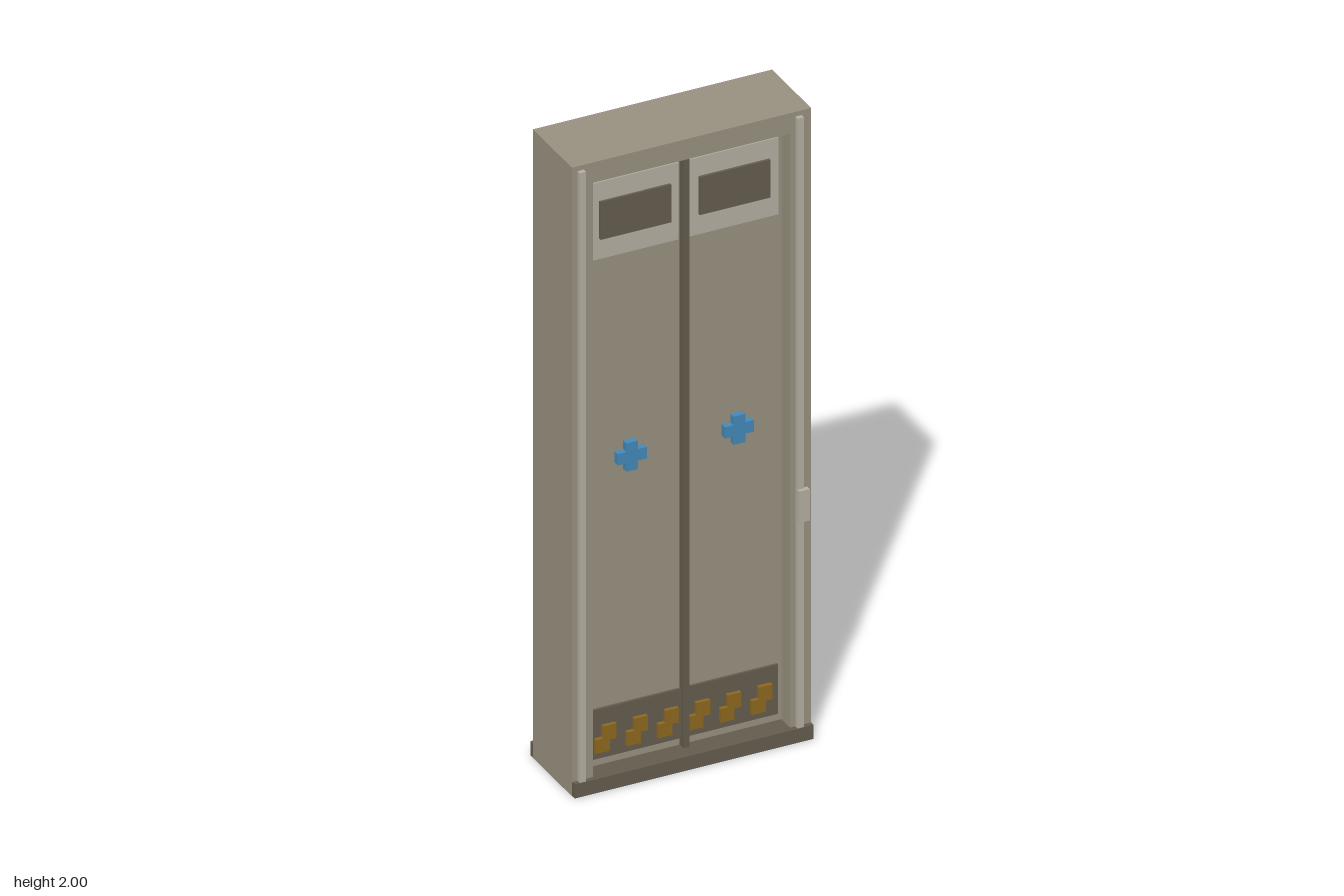
import * as THREE from 'three';

const mat = (color) => new THREE.MeshStandardMaterial({ color });
const BODY = mat(0x989180);
const DARK = mat(0x635c4e);
const LIGHT = mat(0xb5afa1);
const BLUE = mat(0x4489b9);
const AMBER = mat(0x8e6820);

// Box given by its extents on each axis
function box(parent, name, material, [x0, x1], [y0, y1], [z0, z1]) {
  const mesh = new THREE.Mesh(new THREE.BoxGeometry(x1 - x0, y1 - y0, z1 - z0), material);
  mesh.position.set((x0 + x1) / 2, (y0 + y1) / 2, (z0 + z1) / 2);
  mesh.name = name;
  parent.add(mesh);
  return mesh;
}

// Closed outline pushed out from depth z0 to z1
function plate(parent, name, material, points, x, y, z0, z1) {
  const shape = new THREE.Shape(points.map(([px, py]) => new THREE.Vector2(px, py)));
  const geo = new THREE.ExtrudeGeometry(shape, { depth: z1 - z0, bevelEnabled: false });
  const mesh = new THREE.Mesh(geo, material);
  mesh.position.set(x, y, z0);
  mesh.name = name;
  parent.add(mesh);
}

const A = 0.045, B = 0.018;
const CROSS = [[-B, -A], [B, -A], [B, -B], [A, -B], [A, B], [B, B],
  [B, A], [-B, A], [-B, B], [-A, B], [-A, -B], [-B, -B]];
const STEP = [[-0.032, -0.041], [0.011, -0.041], [0.011, -0.006], [0.032, -0.006],
  [0.032, 0.041], [-0.01, 0.041], [-0.01, 0.003], [-0.032, 0.003]];

// Everything on one face of the doorway, facing +z
function buildFace(name) {
  const face = new THREE.Group();
  face.name = name;

  // Vertical trim strips and the control plate
  box(face, 'trimStrip', LIGHT, [-0.353, -0.333], [0.045, 1.985], [0.11, 0.134]);
  box(face, 'trimStrip', LIGHT, [0.321, 0.341], [0.045, 1.985], [0.11, 0.134]);
  box(face, 'controlPlate', LIGHT, [0.32, 0.353], [0.705, 0.805], [0.13, 0.146]);

  // Window surrounds, window panes and crosses
  for (const [x0, x1, w0, w1, cx] of [
    [-0.29, -0.018, -0.264, -0.045, -0.167],
    [0.015, 0.29, 0.043, 0.262, 0.165],
  ]) {
    box(face, 'windowSurround', LIGHT, [x0, x1], [1.66, 1.905], [0.06, 0.077]);
    box(face, 'windowPane', DARK, [w0, w1], [1.725, 1.845], [0.06, 0.085]);
    plate(face, 'cross', BLUE, CROSS, cx, 1.013, 0.06, 0.087);
  }

  // Kick panel with stepped warning marks
  box(face, 'kickPanel', DARK, [-0.29, 0.29], [0.07, 0.227], [0.06, 0.075]);
  for (let i = 0; i < 6; i++) {
    plate(face, 'warningMark', AMBER, STEP, -0.247 + i * 0.0965, 0.135, 0.07, 0.087);
  }
  return face;
}

export function createModel() {
  const model = new THREE.Group();
  model.name = 'slidingDoorway';

  // Frame: two posts and the header
  for (const s of [-1, 1]) {
    const [a, b] = [s * 0.305, s * 0.37].sort((p, q) => p - q);
    box(model, 'framePost', BODY, [a, b], [0, 2], [-0.12, 0.12]);
  }
  box(model, 'frameHeader', BODY, [-0.305, 0.305], [1.935, 2], [-0.12, 0.12]);

  // Threshold
  box(model, 'threshold', DARK, [-0.3695, 0.3695], [0.001, 0.045], [-0.136, 0.136]);

  // Door leaves and the seam between them
  box(model, 'leftDoor', BODY, [0, 0.305], [0.045, 1.935], [-0.067, 0.067]);
  box(model, 'rightDoor', BODY, [-0.305, 0], [0.045, 1.935], [-0.067, 0.067]);
  box(model, 'doorSeam', DARK, [-0.01, 0.008], [0.045, 1.935], [-0.09, 0.09]);

  // Front details, and the same details mirrored to the back
  model.add(buildFace('frontDetails'));
  const back = buildFace('backDetails');
  back.scale.z = -1;
  model.add(back);

  return model;
}
